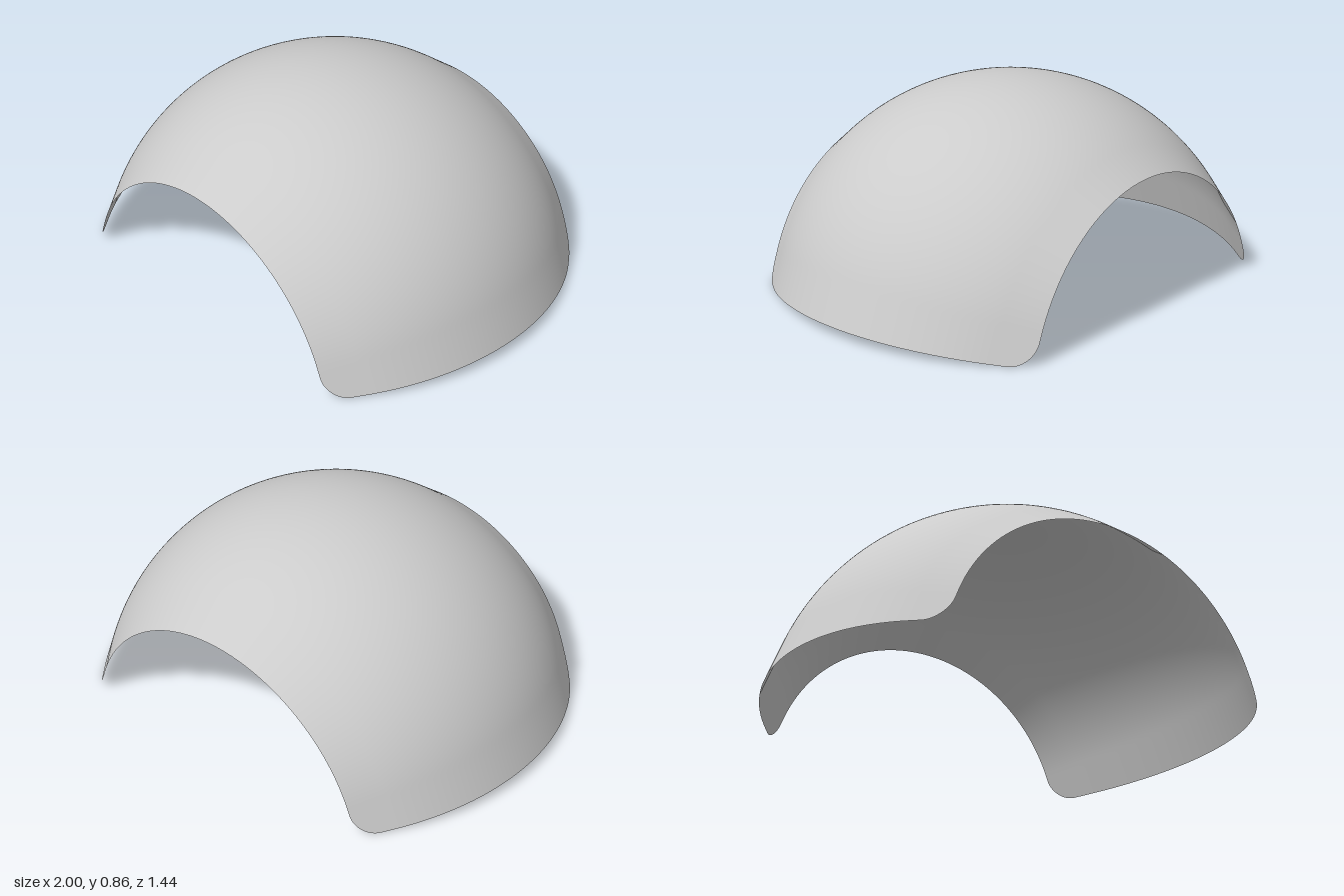
import * as THREE from 'three';

const HALF_DEPTH = 0.722;   // front and back rims are cut flat here
const CENTRE_Y = -0.143;    // height of the unit sphere's centre
const SIDE_ANGLE = THREE.MathUtils.degToRad(79.35);
const FLARE_ANGLE = THREE.MathUtils.degToRad(68.75);
const FLARE_Z = 0.6;
const CORNER = 0.077;       // depth of the rounded corners
const CORNER_ANGLE = THREE.MathUtils.degToRad(8.3);

// Distance from the z axis: a sphere that runs on straight near the rims
function ringRadius(z) {
  const a = Math.abs(z);
  return a < FLARE_Z ? Math.sqrt(1 - a * a) : 0.8 - 0.75 * (a - FLARE_Z);
}

// How far the shell reaches down each side, with rounded corners
function sideLimit(z) {
  const t = THREE.MathUtils.clamp((Math.abs(z) - HALF_DEPTH + CORNER) / CORNER, 0, 1);
  return SIDE_ANGLE - CORNER_ANGLE * (1 - Math.sqrt(1 - t * t));
}

export function createModel() {
  const group = new THREE.Group();
  group.name = 'curvedShell';

  // Wrap a flat grid over the dome
  const geometry = new THREE.PlaneGeometry(2, 2, 128, 128);
  const p = geometry.attributes.position;
  for (let i = 0; i < p.count; i++) {
    const z = -HALF_DEPTH * Math.sin(p.getY(i) * Math.PI / 2);
    const phi = p.getX(i) * sideLimit(z);
    const flare = Math.max(0, Math.abs(phi) - FLARE_ANGLE);
    const r = ringRadius(z) / Math.cos(flare);
    p.setXYZ(i, r * Math.sin(phi), CENTRE_Y + r * Math.cos(phi), z);
  }
  geometry.computeVertexNormals();

  const shell = new THREE.Mesh(geometry, new THREE.MeshStandardMaterial({
    color: 0xcccccc, side: THREE.DoubleSide,
  }));
  shell.name = 'domeShell';
  group.add(shell);
  return group;
}
